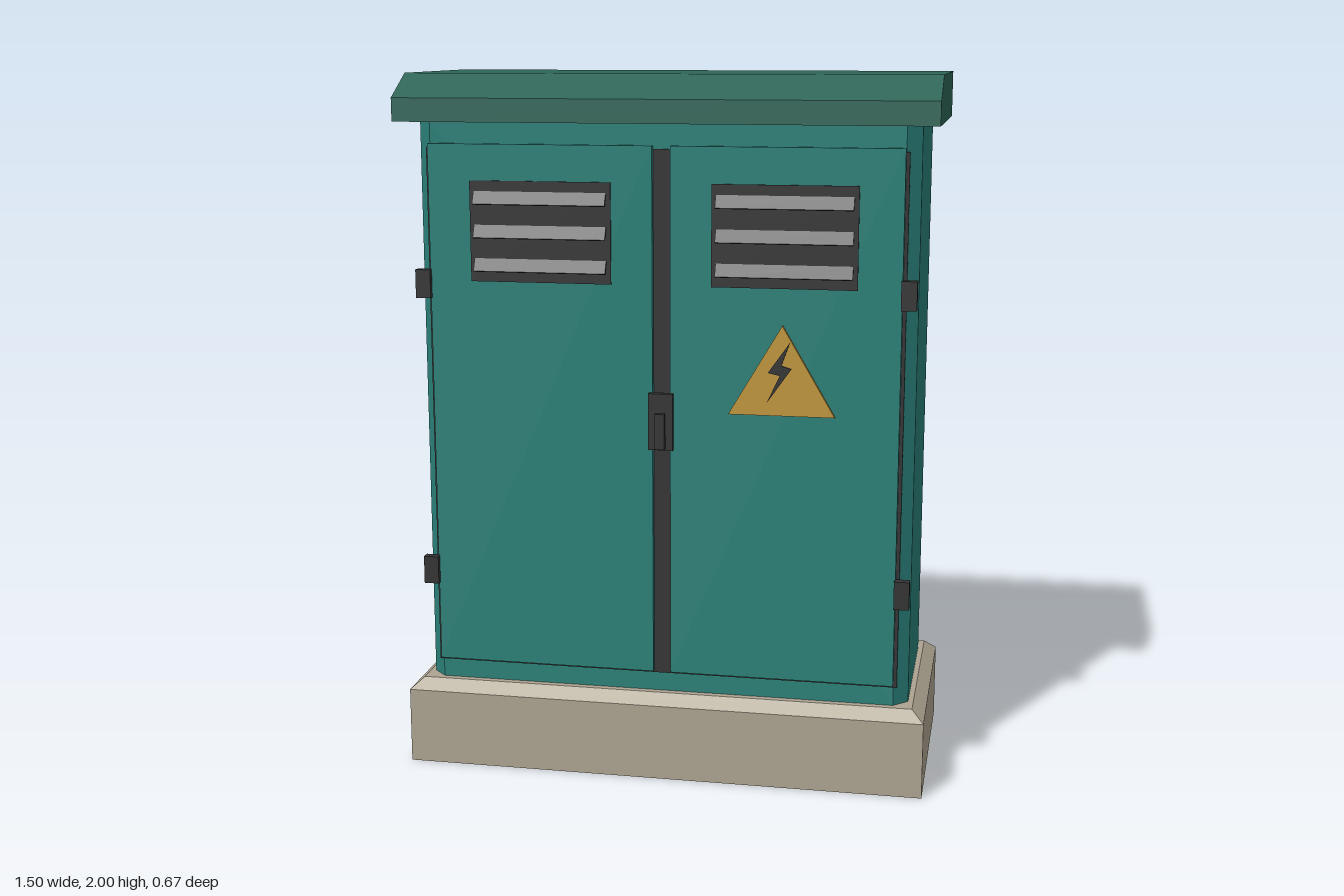
import * as THREE from 'three';

const mat = (color) => new THREE.MeshStandardMaterial({ color, flatShading: true });
const teal = mat(0x2a7f78), roofGreen = mat(0x2d6557), stone = mat(0xada390);
const dark = mat(0x333333), yellow = mat(0xc0963c);

export function createModel() {
  const model = new THREE.Group();

  const add = (name, geometry, material, x = 0, y = 0, z = 0, parent = model) => {
    const mesh = new THREE.Mesh(geometry, material);
    mesh.name = name;
    mesh.position.set(x, y, z);
    parent.add(mesh);
    return mesh;
  };
  // Box given by its limits on each axis
  const box = (name, material, [x0, x1], [y0, y1], [z0, z1], parent) =>
    add(name, new THREE.BoxGeometry(x1 - x0, y1 - y0, z1 - z0), material,
      (x0 + x1) / 2, (y0 + y1) / 2, (z0 + z1) / 2, parent);
  const extrude = (points, depth) => new THREE.ExtrudeGeometry(
    new THREE.Shape(points.map(([x, y]) => new THREE.Vector2(x, y))),
    { depth, bevelEnabled: false });

  // Plinth: a slab with a bevelled top
  box('plinth', stone, [-0.75, 0.75], [0, 0.22], [-0.335, 0.335]);
  const bevel = new THREE.BoxGeometry(1.5, 0.03, 0.67);
  const p = bevel.attributes.position;
  for (let i = 0; i < p.count; i++) {
    if (p.getY(i) > 0) {
      p.setX(i, Math.sign(p.getX(i)) * 0.715);
      p.setZ(i, Math.sign(p.getZ(i)) * 0.3);
    }
  }
  bevel.computeVertexNormals();
  add('plinthBevel', bevel, stone, 0, 0.235, 0);

  // Cabinet body with chamfered vertical corners
  const w = 0.7, d = 0.28, c = 0.04;
  const body = extrude([
    [-w + c, -d], [w - c, -d], [w, -d + c], [w, d - c],
    [w - c, d], [-w + c, d], [-w, d - c], [-w, -d + c],
  ], 1.62);
  body.rotateX(-Math.PI / 2);
  add('body', body, teal, 0, 0.25, 0);

  // Roof: side profile drawn as (-z, y), extruded along x
  const roof = extrude([
    [-0.335, 1.87], [0.335, 1.87], [0.335, 2], [-0.215, 2], [-0.335, 1.935],
  ], 1.5);
  roof.rotateY(Math.PI / 2);
  add('roof', roof, roofGreen, -0.75, 0, 0);

  // Dark seal showing around and between the doors
  box('doorSeal', dark, [-0.67, 0.67], [0.305, 1.8], [0.282, 0.285]);

  // Two mirrored doors with vents and hinges
  for (const side of [-1, 1]) {
    const door = new THREE.Group();
    door.name = side > 0 ? 'leftDoor' : 'rightDoor';
    model.add(door);
    const span = (a, b) => (side > 0 ? [a, b] : [-b, -a]);

    box('doorPanel', teal, span(0.025, 0.66), [0.315, 1.81], [0.287, 0.305], door);
    box('ventPlate', dark, span(0.14, 0.54), [1.43, 1.71], [0.3, 0.309], door);
    for (const y of [1.477, 1.57, 1.663]) {
      const slat = add('ventSlat', new THREE.BoxGeometry(0.375, 0.038, 0.006), dark,
        side * 0.34, y, 0.318, door);
      slat.rotation.x = -0.45;
    }
    for (const y of [0.585, 1.42]) {
      box('hinge', dark, span(0.657, 0.7), [y - 0.04, y + 0.04], [0.293, 0.32], door);
    }
  }

  // Lock plate and handle
  box('lockPlate', dark, [-0.035, 0.035], [0.97, 1.13], [0.3, 0.32]);
  box('handle', dark, [-0.014, 0.014], [0.975, 1.075], [0.32, 0.336]);

  // Warning triangle with a bolt
  add('warningTriangle', extrude([[0.19, 1.08], [0.485, 1.08], [0.338, 1.33]], 0.013),
    yellow, 0, 0, 0.304);
  add('warningBolt', extrude([
    [0.36, 1.285], [0.3, 1.2], [0.333, 1.193], [0.297, 1.115],
    [0.365, 1.212], [0.337, 1.22],
  ], 0.006), dark, 0, 0, 0.316);

  return model;
}
